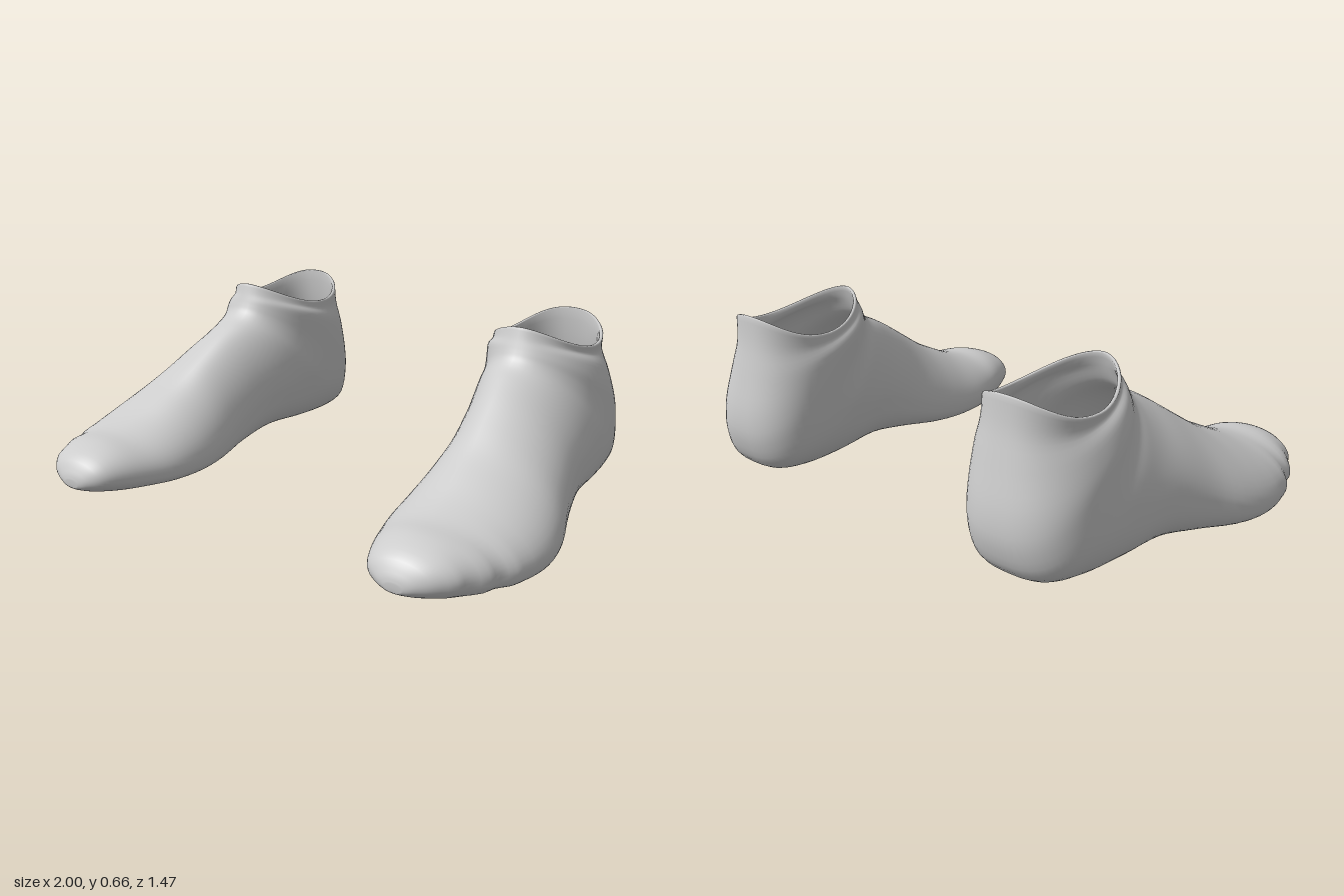
import * as THREE from 'three';

// Cross-sections from toe to collar:
// top z, top y, bottom z, bottom y, inner x, outer x, height fraction of widest point
const SECTIONS = [
  [0.735, 0.09, 0.733, 0.06, 0.67, 0.73, 0.5],
  [0.725, 0.12, 0.72, 0.05, 0.63, 0.77, 0.5],
  [0.69, 0.165, 0.68, 0.035, 0.575, 0.835, 0.45],
  [0.6, 0.2, 0.6, 0.02, 0.53, 0.9, 0.4],
  [0.5, 0.21, 0.5, 0.015, 0.49, 0.945, 0.35],
  [0.4, 0.24, 0.4, 0.01, 0.46, 0.985, 0.3],
  [0.3, 0.285, 0.27, 0.005, 0.45, 1.0, 0.28],
  [0.2, 0.335, 0.14, 0.01, 0.455, 0.985, 0.3],
  [0.1, 0.4, -0.02, 0.033, 0.468, 0.94, 0.35],
  [0.0, 0.465, -0.2, 0.058, 0.455, 0.905, 0.4],
  [-0.07, 0.505, -0.4, 0.05, 0.425, 0.89, 0.42],
  [-0.12, 0.53, -0.57, 0.05, 0.405, 0.88, 0.45],
  [-0.145, 0.548, -0.68, 0.075, 0.4, 0.87, 0.45],
  [-0.16, 0.565, -0.725, 0.17, 0.4, 0.86, 0.45],
  [-0.17, 0.585, -0.73, 0.28, 0.4, 0.85, 0.46],
  [-0.178, 0.605, -0.705, 0.42, 0.405, 0.825, 0.47],
  [-0.187, 0.63, -0.683, 0.54, 0.422, 0.8, 0.47],
  [-0.197, 0.662, -0.675, 0.642, 0.425, 0.802, 0.47],
];
const LAST = SECTIONS.length - 1;
const SIDES = 56;
const smooth = THREE.MathUtils.smoothstep;
const lerp = THREE.MathUtils.lerp;

// Catmull-Rom blend of the section values at position t (0..LAST)
function sectionAt(t) {
  const i = Math.min(Math.floor(t), LAST - 1), u = t - i;
  const at = (k) => SECTIONS[Math.max(0, Math.min(LAST, k))];
  return SECTIONS[0].map((_, c) => {
    const a = at(i - 1)[c], b = at(i)[c], d = at(i + 1)[c], e = at(i + 2)[c];
    return b + 0.5 * u * (d - a + u * (2 * a - 5 * b + 4 * d - e + u * (3 * (b - d) + e - a)));
  });
}

// One closed loop of points; inset shrinks it for the lining, collapse closes an end
function ring({ t, inset = 0, lift = 0, collapse = false }) {
  let [tz, ty, bz, by, xin, xout, f] = sectionAt(t);
  const length = Math.hypot(tz - bz, ty - by);
  const k = Math.min(inset / length, 0.3);
  [tz, bz] = [lerp(tz, bz, k), lerp(bz, tz, k)];
  [ty, by] = [lerp(ty, by, k), lerp(by, ty, k)];
  const dx = Math.min(inset, (xout - xin) * 0.3);
  xin += dx;
  xout -= dx;

  const mid = (xin + xout) / 2;
  const xTop = lerp(0.7, 0.62, smooth(t, 3, 11));
  const dip = 0.085 * smooth(t, 14.6, 17.4);
  const upper = 2 / (2 - 0.25 * smooth(t, 3, 6) + 0.2 * smooth(t, 9, 12) - 0.1 * smooth(t, 14, 17));
  const lower = 2 / (2.1 + 1.1 * smooth(t, 1, 5) - 0.9 * smooth(t, 10, 15));
  const points = [];
  for (let j = 0; j < SIDES; j++) {
    const a = (j / SIDES) * Math.PI * 2;
    const s = Math.sin(a), c = Math.cos(a);
    const power = c >= 0 ? upper : lower;
    const across = Math.pow(Math.abs(s), power);
    const along = Math.pow(Math.abs(c), power);
    const h = c >= 0 ? f + (1 - f) * along : f - f * along;
    let x = lerp(c >= 0 ? xTop : mid, s >= 0 ? xout : xin, across);
    const z = lerp(bz, tz, h);
    // slight toe bumps along the outer front edge
    if (s > 0) x += 0.007 * s * s * Math.sin(z * 60) * smooth(z, 0.35, 0.5) * (1 - smooth(z, 0.62, 0.7));
    points.push([x, lerp(by, ty, h) - dip * s * s + lift, z]);
  }
  if (!collapse) return points;
  return points.map(() => [mid, (ty + by) / 2, (tz + bz) / 2]);
}

// Skin a list of loops; side = -1 mirrors the shape across x
function skin(loops, side) {
  const positions = loops.flat().flatMap(([x, y, z]) => [x * side, y, z]);
  const index = [];
  for (let i = 0; i < loops.length - 1; i++) {
    for (let j = 0; j < SIDES; j++) {
      const n = (j + 1) % SIDES;
      const a = i * SIDES + j, b = i * SIDES + n, c = a + SIDES, d = b + SIDES;
      if (side > 0) index.push(a, b, c, b, d, c);
      else index.push(a, c, b, b, c, d);
    }
  }
  const geometry = new THREE.BufferGeometry();
  geometry.setAttribute('position', new THREE.Float32BufferAttribute(positions, 3));
  geometry.setIndex(index);
  geometry.computeVertexNormals();
  return geometry;
}

export function createModel() {
  const group = new THREE.Group();
  const fabric = new THREE.MeshStandardMaterial({ color: 0xcccccc });
  fabric.name = 'light grey fabric';

  // Outer surface from toe to collar, rolled rim, then lining back down to the toe
  const loops = [ring({ t: 0, collapse: true })];
  const steps = LAST * 4;
  for (let i = 0; i <= steps; i++) loops.push(ring({ t: (i / steps) * LAST }));
  loops.push(ring({ t: LAST, inset: 0.003, lift: 0.004 }));
  loops.push(ring({ t: LAST, inset: 0.009, lift: 0.004 }));
  for (let i = steps; i >= 4; i -= 2) loops.push(ring({ t: (i / steps) * LAST, inset: 0.013 }));
  loops.push(ring({ t: 1, inset: 0.013, collapse: true }));

  for (const [name, side] of [['leftSock', 1], ['rightSock', -1]]) {
    const sock = new THREE.Mesh(skin(loops, side), fabric);
    sock.name = name;
    group.add(sock);
  }
  return group;
}
